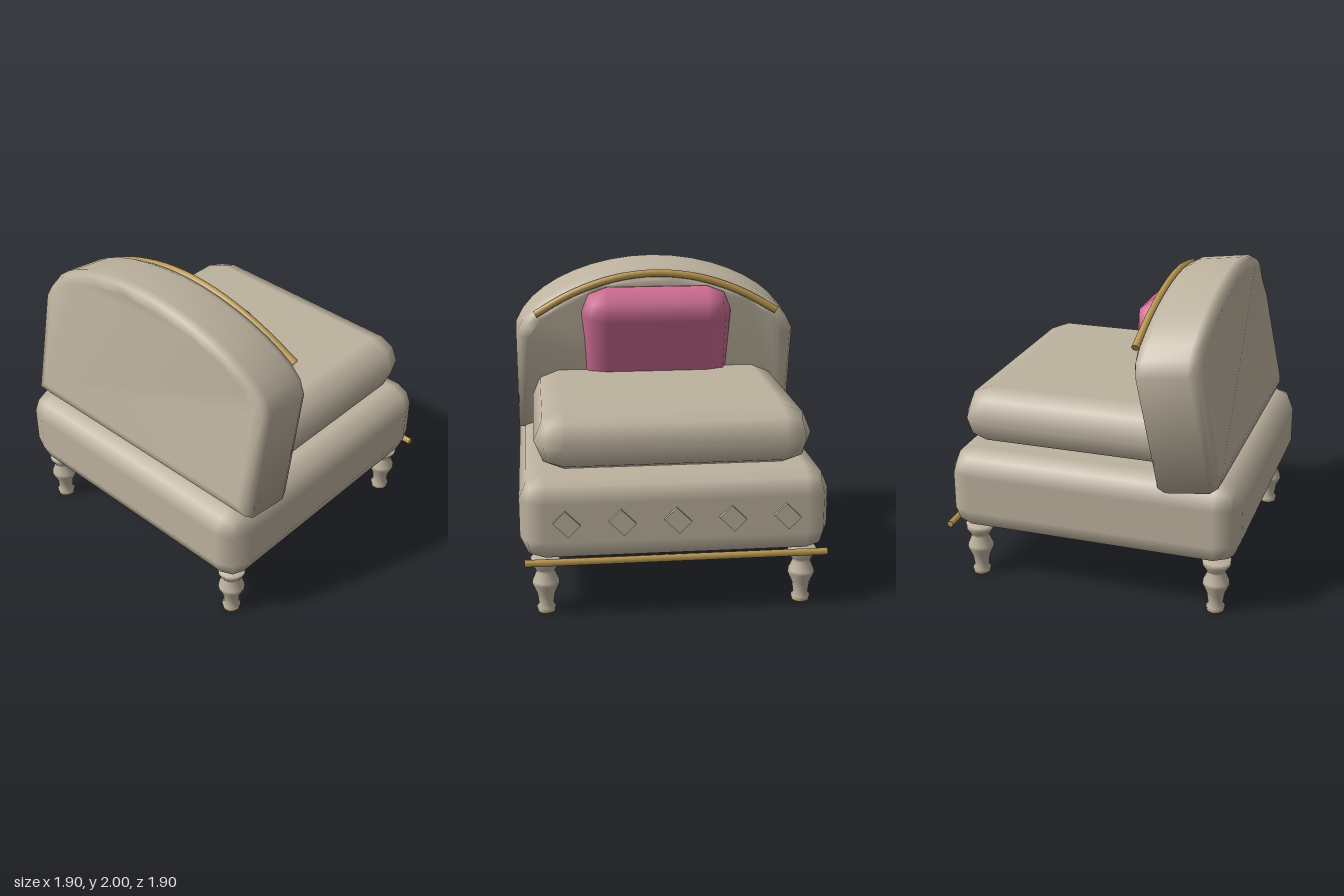
import * as THREE from 'three';
import { mergeVertices } from 'three/addons/utils/BufferGeometryUtils.js';
import { RoundedBoxGeometry } from 'three/addons/geometries/RoundedBoxGeometry.js';

function material(name, color) {
  const m = new THREE.MeshStandardMaterial({ color });
  m.name = name;
  return m;
}

export function createModel() {
  const group = new THREE.Group();
  const fabric = material('beige fabric', 0xbdb29f);
  const pink = material('pink fabric', 0xcf6d92);
  const gold = material('gold', 0xb8964f);

  function add(name, geometry, mat, x = 0, y = 0, z = 0, parent = group) {
    const mesh = new THREE.Mesh(geometry, mat);
    mesh.name = name;
    mesh.position.set(x, y, z);
    parent.add(mesh);
    return mesh;
  }

  // Upholstered base and seat cushion
  add('base', new RoundedBoxGeometry(1.9, 0.54, 1.88, 1, 0.15), fabric, 0, 0.62, 0.01);
  add('seatCushion', new RoundedBoxGeometry(1.7, 0.37, 1.5, 1, 0.18), fabric, 0, 1.075, -0.13);

  // Arched backrest: bevelled slab whose centre line leans and bends with height
  const outline = new THREE.Shape();
  outline.moveTo(-0.87, 0.92);
  outline.lineTo(0.87, 0.92);
  outline.lineTo(0.87, 1.52);
  outline.bezierCurveTo(0.80, 1.72, 0.42, 1.90, 0, 1.90);
  outline.bezierCurveTo(-0.42, 1.90, -0.80, 1.72, -0.87, 1.52);
  outline.closePath();
  let slab = new THREE.ExtrudeGeometry(outline, {
    depth: 0.27, bevelThickness: 0.07, bevelSize: 0.08, bevelSegments: 2, curveSegments: 9,
  });
  const pos = slab.attributes.position;
  for (let i = 0; i < pos.count; i++) {
    const y = pos.getY(i), dz = pos.getZ(i) - 0.135;
    const lean = 0.49 + 0.205 * Math.max(0, 1.6 - y) + 0.13 * Math.max(0, y - 1.65);
    pos.setY(i, y + 0.13 * dz);
    pos.setZ(i, lean + dz);
  }
  slab.deleteAttribute('normal');
  slab.deleteAttribute('uv');
  slab = mergeVertices(slab, 1e-4);
  slab.computeVertexNormals();
  add('backrest', slab, fabric);

  // Tilted pillow
  const pillow = add('pillow', new RoundedBoxGeometry(1.02, 0.8, 0.36, 1, 0.17), pink, 0, 1.45, 0.386);
  pillow.rotation.x = -0.297;

  // Curved trim along the top of the backrest
  const points = [];
  for (let i = 0; i <= 8; i++) {
    const t = i / 4 - 1;
    points.push(new THREE.Vector3(0.82 * t, 1.92 - 0.26 * t * t, 0.318 - 0.035 * t * t));
  }
  const trim = new THREE.Group();
  trim.name = 'backrestTrim';
  group.add(trim);
  add('trimRod', new THREE.TubeGeometry(new THREE.CatmullRomCurve3(points), 24, 0.025, 8), gold, 0, 0, 0, trim);
  for (const side of [-1, 1]) {
    const cap = add('trimEnd', new THREE.CircleGeometry(0.025, 8), gold, 0.82 * side, 1.66, 0.283, trim);
    cap.lookAt(0.82 * side + side, 1.66 - 0.634, 0.283 - 0.085);
  }

  // Straight rail below the base
  const rail = add('lowerRail', new THREE.CylinderGeometry(0.022, 0.022, 1.85, 6), gold, 0, 0.375, -0.925);
  rail.rotation.z = Math.PI / 2;

  // Row of raised diamonds
  for (let i = -2; i <= 2; i++) {
    const diamond = add('diamond', new THREE.BoxGeometry(0.105, 0.13, 0.03), fabric, i * 0.335, 0.62, -0.935);
    diamond.rotation.z = -Math.PI / 4;
  }

  // Turned legs with gold foot discs
  const profile = [
    [0.055, 0.008], [0.06, 0.03], [0.046, 0.05], [0.056, 0.12], [0.085, 0.185],
    [0.082, 0.205], [0.056, 0.265], [0.066, 0.285], [0.088, 0.32], [0.09, 0.352],
  ].map(([r, y]) => new THREE.Vector2(r, y));
  const legGeometry = new THREE.LatheGeometry([...profile, new THREE.Vector2(0, 0.352)], 16);
  const footGeometry = new THREE.CylinderGeometry(0.055, 0.055, 0.01, 16);
  for (const x of [-0.8, 0.8]) {
    for (const z of [-0.775, 0.8]) {
      const leg = new THREE.Group();
      leg.name = 'leg';
      leg.position.set(x, 0, z);
      add('turnedLeg', legGeometry, fabric, 0, 0, 0, leg);
      add('footDisc', footGeometry, gold, 0, 0.005, 0, leg);
      group.add(leg);
    }
  }
  return group;
}
